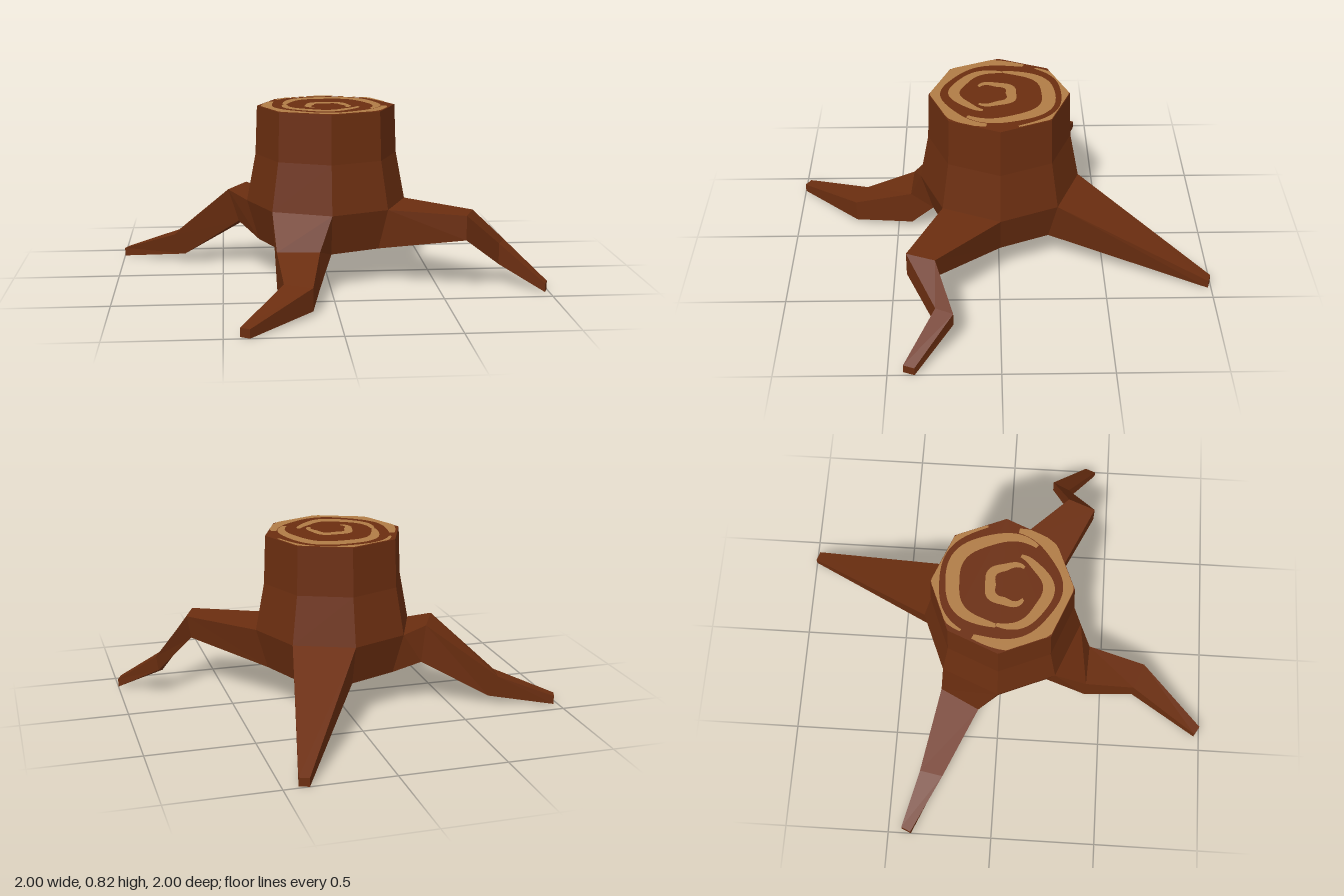
import * as THREE from 'three';

const bark = new THREE.MeshStandardMaterial({ color: 0x6b2e10 });
bark.name = 'bark';
const paleWood = new THREE.MeshStandardMaterial({ color: 0xb07c46 });
paleWood.name = 'paleWood';

// Faceted skin through a list of rings; each ring runs counter-clockwise seen from the far end.
function loft(rings, { startCap = false, skip = () => false } = {}) {
  const pos = [];
  const tri = (...pts) => pts.forEach((p) => pos.push(...p));
  const n = rings[0].length;
  for (let k = 0; k < rings.length - 1; k++) {
    for (let j = 0; j < n; j++) {
      if (skip(k, j)) continue;
      const i = (j + 1) % n, p = rings[k], q = rings[k + 1];
      tri(p[j], p[i], q[i]);
      tri(p[j], q[i], q[j]);
    }
  }
  const first = rings[0], last = rings[rings.length - 1];
  for (let j = 1; j < n - 1; j++) {
    tri(last[0], last[j], last[j + 1]);
    if (startCap) tri(first[0], first[j + 1], first[j]);
  }
  const geometry = new THREE.BufferGeometry();
  geometry.setAttribute('position', new THREE.Float32BufferAttribute(pos, 3));
  geometry.computeVertexNormals();
  return geometry;
}

const SIDES = 8, TOP_Y = 0.82, TOP_R = 0.328, CENTRE_Z = -0.005;

function octagon(r, y) {
  return Array.from({ length: SIDES }, (_, i) => {
    const a = (i / SIDES) * Math.PI * 2;
    return [r * Math.cos(a), y, r * Math.sin(a) + CENTRE_Z];
  });
}

// Tapered band following a spiral on the cut face, kept inside the octagon.
function growthBand(r0, r1, width, startDeg, endDeg, cz) {
  const steps = 40, outer = [], inner = [];
  const point = (r, a) => {
    let x = r * Math.cos(a), z = r * Math.sin(a) * 1.08 + cz;
    const sector = Math.PI / 4, ang = Math.atan2(z, x);
    const local = ((ang % sector) + sector) % sector - sector / 2;
    const limit = (TOP_R * Math.cos(sector / 2)) / Math.cos(local) - 0.002;
    const k = Math.min(1, limit / Math.hypot(x, z));
    return new THREE.Vector2(x * k, -z * k);
  };
  for (let i = 0; i <= steps; i++) {
    const t = i / steps;
    const a = THREE.MathUtils.degToRad(startDeg + (endDeg - startDeg) * t);
    const r = r0 + (r1 - r0) * t + 0.006 * Math.sin(a * 5);
    const w = (width / 2) * Math.sqrt(Math.sin(Math.PI * (0.03 + 0.94 * t)));
    outer.push(point(r + w, a));
    inner.unshift(point(r - w, a));
  }
  return new THREE.ShapeGeometry(new THREE.Shape([...outer, ...inner])).rotateX(-Math.PI / 2);
}

export function createModel() {
  const model = new THREE.Group();
  model.name = 'treeStump';
  const add = (name, geometry, material) => {
    const mesh = new THREE.Mesh(geometry, material);
    mesh.name = name;
    model.add(mesh);
    return mesh;
  };

  // Trunk: flared octagon, left open where the roots grow out of its lowest band
  const rings = [octagon(TOP_R, TOP_Y), octagon(0.337, 0.59), octagon(0.38, 0.363), octagon(0.325, 0.17)];
  add('trunk', loft(rings, { startCap: true, skip: (k, j) => k === 2 && j % 2 === 0 }), bark);

  // Roots: sections listed as top a, top b, bottom b, bottom a
  const tip = (ax, az, bx, bz) => [[ax, 0.04, az], [bx, 0.04, bz], [bx, 0, bz], [ax, 0, az]];
  const roots = {
    leftRoot: [
      [[0.66, 0.365, 0.29], [0.61, 0.365, 0.42], [0.61, 0.25, 0.42], [0.64, 0.25, 0.3]],
      [[0.83, 0.2, 0.21], [0.79, 0.2, 0.29], [0.79, 0.1, 0.29], [0.82, 0.13, 0.21]],
      tip(1, 0.38, 0.98, 0.43),
    ],
    frontRoot: [
      [[-0.06, 0.21, 0.43], [-0.255, 0.21, 0.42], [-0.255, 0.04, 0.42], [-0.06, 0.04, 0.43]],
      [[-0.11, 0.125, 0.71], [-0.235, 0.13, 0.66], [-0.235, 0.02, 0.66], [-0.11, 0.02, 0.71]],
      tip(-0.39, 1, -0.43, 0.975),
    ],
    rightRoot: [
      [[-0.47, 0.4, -0.09], [-0.38, 0.4, -0.27], [-0.36, 0.22, -0.27], [-0.42, 0.24, -0.1]],
      [[-0.74, 0.14, -0.25], [-0.72, 0.14, -0.36], [-0.68, 0.04, -0.34], [-0.69, 0.04, -0.25]],
      tip(-1, -0.39, -0.98, -0.435),
    ],
    backRoot: [tip(0.385, -1, 0.43, -0.985)],
  };
  Object.entries(roots).forEach(([name, sections], n) => {
    const a = n * 2, b = (a + 1) % SIDES;
    const base = [rings[2][a], rings[2][b], rings[3][b], rings[3][a]];
    add(name, loft([base, ...sections]), bark);
  });

  // Growth rings painted on the cut face: start radius, end radius, width, angles, centre z
  const bands = [
    [0.085, 0.1, 0.045, 140, 390, 0.04],
    [0.15, 0.2, 0.05, 20, 190, 0.02],
    [0.2, 0.24, 0.06, 185, 395, 0],
    [0.27, 0.285, 0.075, 10, 205, 0.01],
    [0.28, 0.3, 0.035, 215, 345, 0],
  ];
  bands.forEach((band, i) => {
    add(`growthRing${i + 1}`, growthBand(...band), paleWood).position.set(0, TOP_Y + 0.003, CENTRE_Z);
  });

  return model;
}
